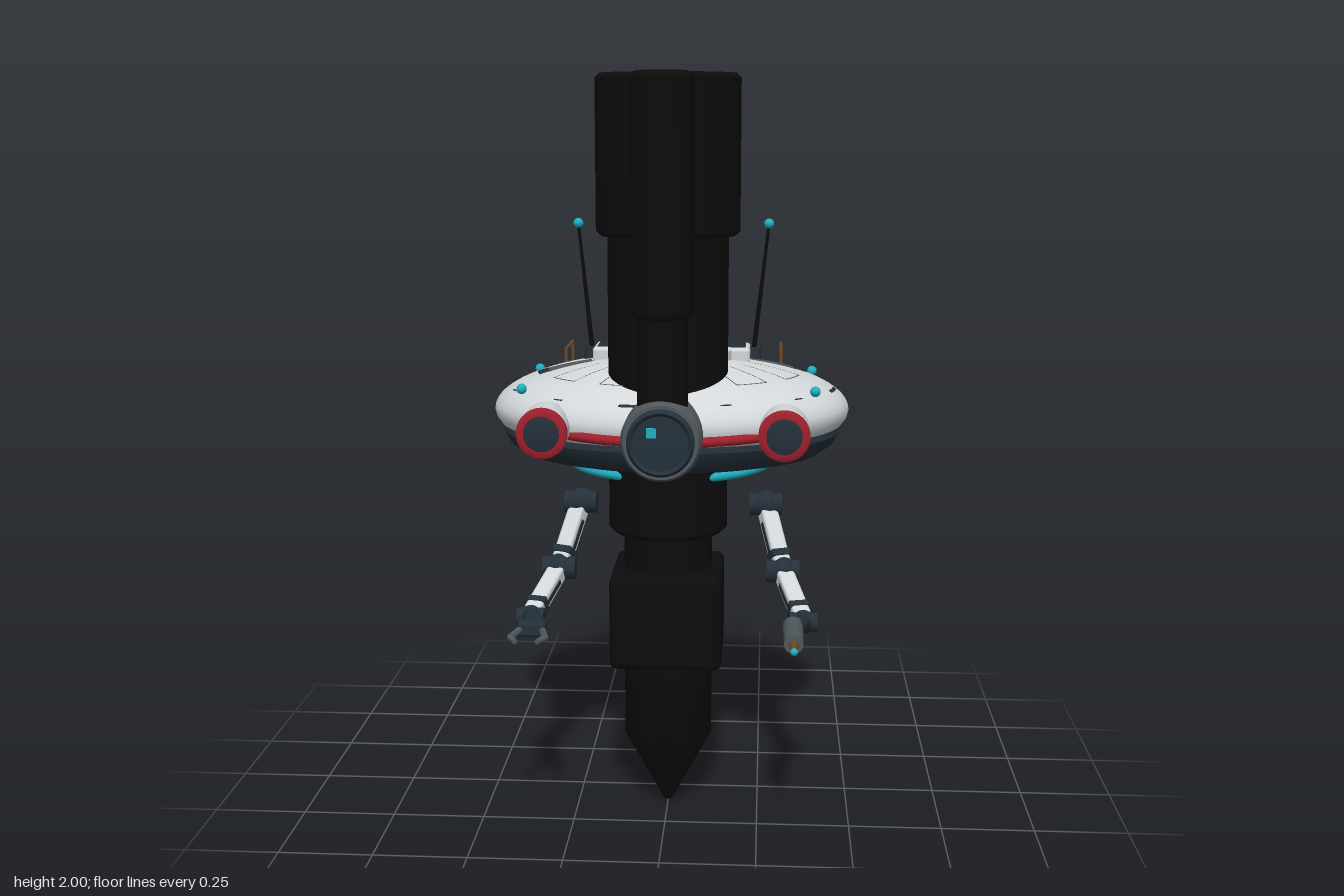
import * as THREE from 'three';
import { toCreasedNormals } from 'three/addons/utils/BufferGeometryUtils.js';
import { RoundedBoxGeometry } from 'three/addons/geometries/RoundedBoxGeometry.js';

const mat = (name, color, side = THREE.FrontSide) => {
  const m = new THREE.MeshStandardMaterial({ color, side });
  m.name = name;
  return m;
};

export function createModel() {
  const white = mat('hull white', 0xd3d7d9), black = mat('matte black', 0x0c0c0c);
  const navy = mat('dark navy', 0x24303a, THREE.DoubleSide), grey = mat('panel grey', 0x50585c, THREE.DoubleSide);
  const red = mat('trim red', 0xa0202c), cyan = mat('light cyan', 0x1fb0c0), brown = mat('bronze', 0x6b4a28);

  const root = new THREE.Group();
  root.name = 'hoverProbe';
  const V = (x, y, z) => new THREE.Vector3(x, y, z);
  const add = (name, geo, material, pos = [0, 0, 0], parent = root) => {
    const m = new THREE.Mesh(geo, material);
    m.name = name;
    m.position.set(...pos);
    parent.add(m);
    return m;
  };
  const lathe = (pts, seg = 48) =>
    toCreasedNormals(new THREE.LatheGeometry(pts.map(p => new THREE.Vector2(...p)), seg), 0.6);
  // Upright cylinder with softened rims
  const drum = (r, y0, y1, b = 0.012) =>
    lathe([[0, y0], [r - b, y0], [r, y0 + b], [r, y1 - b], [r - b, y1], [0, y1]]);
  const box = (w, h, d, r = 0.01) => new RoundedBoxGeometry(w, h, d, 2, r);
  // Cylinder or bar stretched between two points
  const link = (name, a, b, r0, r1, material, parent = root, sides = 16) => {
    const m = add(name, new THREE.CylinderGeometry(r1, r0, a.distanceTo(b), sides), material, [0, 0, 0], parent);
    m.position.copy(a).lerp(b, 0.5);
    m.quaternion.setFromUnitVectors(V(0, 1, 0), b.clone().sub(a).normalize());
    return m;
  };

  // Central column
  const cz = 0.1;
  add('columnHead', drum(0.19, 1.585, 2), black, [0, 0, cz]);
  add('columnBody', drum(0.16, 0.79, 1.6), black, [0, 0, cz]);
  add('columnNeck', drum(0.12, 0.67, 0.81, 0.005), black, [0, 0, cz]);
  add('columnBlock', box(0.3, 0.26, 0.3, 0.02), black, [0, 0.56, cz]);
  add('columnTip', lathe([[0, 0], [0.012, 0.005], [0.115, 0.2], [0.12, 0.21], [0.12, 0.45], [0, 0.45]]), black, [0, 0, cz]);
  add('sideTube', drum(0.077, 1.395, 2), black, [0, 0, 0.343]);
  add('tubeBridge', box(0.154, 0.6, 0.16), black, [0, 1.697, 0.265]);
  add('lowerTube', drum(0.065, 1.15, 1.41), black, [0, 0, 0.335]);

  // Grip with finger scallops; shape x runs backwards
  const grip = new THREE.Shape();
  grip.moveTo(0.02, 0.62);
  grip.lineTo(0.2, 0.67);
  grip.lineTo(0.46, 0.73);
  grip.lineTo(0.51, 0.725);
  grip.lineTo(0.51, 0.63);
  for (let i = 0; i < 6; i++) {
    const x0 = 0.51 - i * 0.077, x1 = x0 - 0.077;
    const y1 = 0.63 - (i + 1) * 0.02;
    grip.quadraticCurveTo((x0 + x1) / 2, y1 - 0.018, x1, y1 + 0.006);
  }
  grip.lineTo(0.02, 0.51);
  const gripGeo = new THREE.ExtrudeGeometry(grip, {
    depth: 0.07, bevelEnabled: true, bevelSize: 0.006, bevelThickness: 0.013, bevelSegments: 3, curveSegments: 8,
  });
  gripGeo.translate(0, 0, -0.035);
  add('grip', gripGeo, black).rotation.y = Math.PI / 2;
  link('trigger', V(0, 0.51, -0.02), V(0, 0.395, -0.14), 0.016, 0.016, black);

  // Oval saucer: built round, then squeezed front to back
  const saucer = new THREE.Group();
  saucer.name = 'saucer';
  saucer.position.z = -0.05;
  saucer.scale.z = 0.776;
  root.add(saucer);
  const R = 0.49;
  const hullY = r => 1.1 + 0.145 * Math.sqrt(Math.max(0, 1 - (r / R) ** 2));
  const profile = [[0.44, 1.045], [0.47, 1.06], [0.485, 1.08]];
  for (let i = 0; i <= 18; i++) {
    const r = R * Math.cos(i / 18 * Math.PI / 2);
    profile.push([Math.max(r, 0), hullY(r)]);
  }
  add('upperHull', lathe(profile, 72), white, [0, 0, 0], saucer);
  add('lowerHull', lathe([[0, 0.967], [0.34, 0.967], [0.41, 0.982], [0.45, 1.01], [0.465, 1.04], [0.46, 1.06], [0, 1.06]], 72),
    navy, [0, 0, 0], saucer);

  // Thin plate laid on the hull between two radii and two angles in degrees
  const plate = (name, r0, r1, a0, a1, material, lift = 0.003) => {
    const g = new THREE.PlaneGeometry(1, 1, 6, 4), p = g.attributes.position;
    for (let i = 0; i < p.count; i++) {
      const a = THREE.MathUtils.degToRad(a0 + (a1 - a0) * (p.getX(i) + 0.5));
      const r = r0 + (r1 - r0) * (p.getY(i) + 0.5);
      p.setXYZ(i, r * Math.cos(a), hullY(r) + lift, r * Math.sin(a));
    }
    g.computeVertexNormals();
    add(name, g, material, [0, 0, 0], saucer);
  };
  for (let k = 0; k < 12; k++) {
    const a = -9 + k * 30;
    if (k % 3 === 0) {
      plate('hatch', 0.22, 0.345, a - 7, a + 7, grey);
      plate('hatchEnd', 0.34, 0.37, a - 7, a + 7, navy, 0.004);
    } else {
      for (const s of [-8, 8]) plate('panelSeam', 0.22, 0.36, a + s - 0.25, a + s + 0.25, navy);
      plate('panelSeam', 0.358, 0.362, a - 8, a + 8, grey);
    }
    const w = k % 3 === 1 ? 6 : 2;
    plate('rimSlot', 0.446, k % 3 === 1 ? 0.455 : 0.45, a - 12 - w, a - 12 + w, navy, 0.004);
  }

  // Ring trims
  const ring = (name, r, t, y, m) =>
    add(name, new THREE.TorusGeometry(r, t, 12, 80), m, [0, y, -0.05]).rotation.x = Math.PI / 2;
  ring('redRing', 0.4, 0.013, 1.077, red);
  ring('glowRing', 0.272, 0.013, 0.955, cyan);

  // Equipment pack and collar behind the column
  add('collar', drum(0.175, 1.2, 1.268, 0.006), white, [0, 0, -0.08]);
  add('pack', box(0.29, 0.115, 0.23, 0.025), navy, [0, 1.27, -0.2]);
  add('packPanel', box(0.23, 0.008, 0.17, 0.003), grey, [0, 1.329, -0.2]);

  // Forward camera
  const front = (name, pts, m, x, y) => {
    const o = add(name, lathe(pts), m, [x, y, 0]);
    o.rotation.x = Math.PI / 2;
    return o;
  };
  front('cameraHousing', [[0, 0.2], [0.09, 0.2], [0.103, 0.23], [0.103, 0.4], [0.095, 0.415], [0.085, 0.415]], grey, 0, 1.09);
  front('cameraLens', [[0.086, 0.39], [0.086, 0.425], [0.078, 0.435], [0.07, 0.428], [0, 0.432]], navy, 0, 1.09);
  add('cameraLight', new THREE.BoxGeometry(0.025, 0.025, 0.008), cyan, [-0.022, 1.118, 0.433]);

  for (const s of [1, -1]) {
    // Lamp pods
    front('pod', [[0, 0.13], [0.035, 0.145], [0.055, 0.18], [0.065, 0.23], [0.065, 0.328], [0, 0.328]], white, s * 0.31, 1.095);
    front('podRing', [[0.06, 0.325], [0.066, 0.328], [0.066, 0.342], [0.058, 0.347], [0.044, 0.347], [0.044, 0.33]], red, s * 0.31, 1.095);
    front('podLens', [[0.046, 0.33], [0.046, 0.35], [0.035, 0.353], [0, 0.353]], navy, s * 0.31, 1.095);

    // Vents with slots
    add('vent', box(0.12, 0.07, 0.13), white, [s * 0.157, 1.232, -0.09]);
    for (let i = 0; i < 5; i++)
      add('ventSlot', new THREE.BoxGeometry(0.065, 0.004, 0.008), navy, [s * 0.172, 1.268, -0.132 + i * 0.021]);

    // Antennas, grab rails and marker lights
    add('antennaBase', new THREE.CylinderGeometry(0.02, 0.026, 0.05, 16), navy, [s * 0.225, 1.235, -0.11]);
    link('antenna', V(s * 0.225, 1.24, -0.11), V(s * 0.265, 1.6, -0.138), 0.007, 0.004, black, root, 8);
    add('antennaTip', new THREE.SphereGeometry(0.014, 16, 12), cyan, [s * 0.265, 1.6, -0.138]);
    const rail = [V(s * 0.303, 1.19, -0.13), V(s * 0.303, 1.247, -0.13), V(s * 0.303, 1.247, -0.285), V(s * 0.303, 1.15, -0.285)];
    for (let i = 0; i < 3; i++) link('grabRail', rail[i], rail[i + 1], 0.005, 0.005, brown, root, 8);
    add('railFoot', new THREE.BoxGeometry(0.105, 0.008, 0.006), navy, [s * 0.303, 1.172, -0.3]);
    for (const z of [-0.24, 0.12])
      add('markerLight', new THREE.SphereGeometry(0.014, 16, 12), cyan, [s * 0.393, 1.174, z]);

    // Articulated arm
    const arm = new THREE.Group();
    arm.name = s > 0 ? 'leftArm' : 'rightArm';
    root.add(arm);
    const joints = [V(s * 0.265, 0.805, -0.13), V(s * 0.315, 0.64, -0.015), V(s * 0.37, 0.555, 0.18), V(s * 0.34, 0.578, 0.31)];
    [0.04, 0.04, 0.032].forEach((r, i) => {
      add('joint', new THREE.SphereGeometry(r, 20, 14), navy, joints[i].toArray(), arm);
      const hub = add('jointHub', new THREE.CylinderGeometry(r * 0.8, r * 0.8, r * 2.3, 20), navy, joints[i].toArray(), arm);
      hub.rotation.z = Math.PI / 2;
    });
    for (let i = 0; i < 2; i++) {
      const a = joints[i], b = joints[i + 1], len = a.distanceTo(b);
      const seg = new THREE.Group();
      seg.name = i ? 'forearm' : 'upperArm';
      seg.position.copy(a).lerp(b, 0.5);
      seg.lookAt(b);
      arm.add(seg);
      add('armShell', box(0.05, 0.046, len - 0.03), white, [0, 0, 0], seg);
      add('armInset', new THREE.BoxGeometry(0.054, 0.014, len * 0.45), navy, [0, 0, 0], seg);
      add('armCuff', box(0.056, 0.052, 0.022, 0.005), navy, [0, 0, len * 0.26], seg);
    }
    link('wrist', joints[2], joints[3], 0.026, 0.026, navy, arm);
    if (s > 0) {
      // Torch tool
      link('toolBarrel', V(0.34, 0.578, 0.29), V(0.34, 0.578, 0.44), 0.027, 0.025, grey, arm);
      link('toolNozzle', V(0.34, 0.578, 0.44), V(0.34, 0.578, 0.495), 0.012, 0.01, brown, arm);
      add('toolTip', new THREE.SphereGeometry(0.01, 12, 8), cyan, [0.34, 0.578, 0.499], arm);
    } else {
      // Two-finger claw
      add('clawBase', box(0.075, 0.04, 0.05), navy, [-0.342, 0.578, 0.345], arm);
      for (const f of [1, -1]) {
        const p = [V(-0.342 + f * 0.03, 0.578, 0.365), V(-0.342 + f * 0.045, 0.578, 0.425), V(-0.342 + f * 0.028, 0.578, 0.46)];
        link('clawFinger', p[0], p[1], 0.01, 0.009, grey, arm, 8);
        link('clawTip', p[1], p[2], 0.01, 0.007, grey, arm, 8);
      }
    }
  }
  return root;
}
